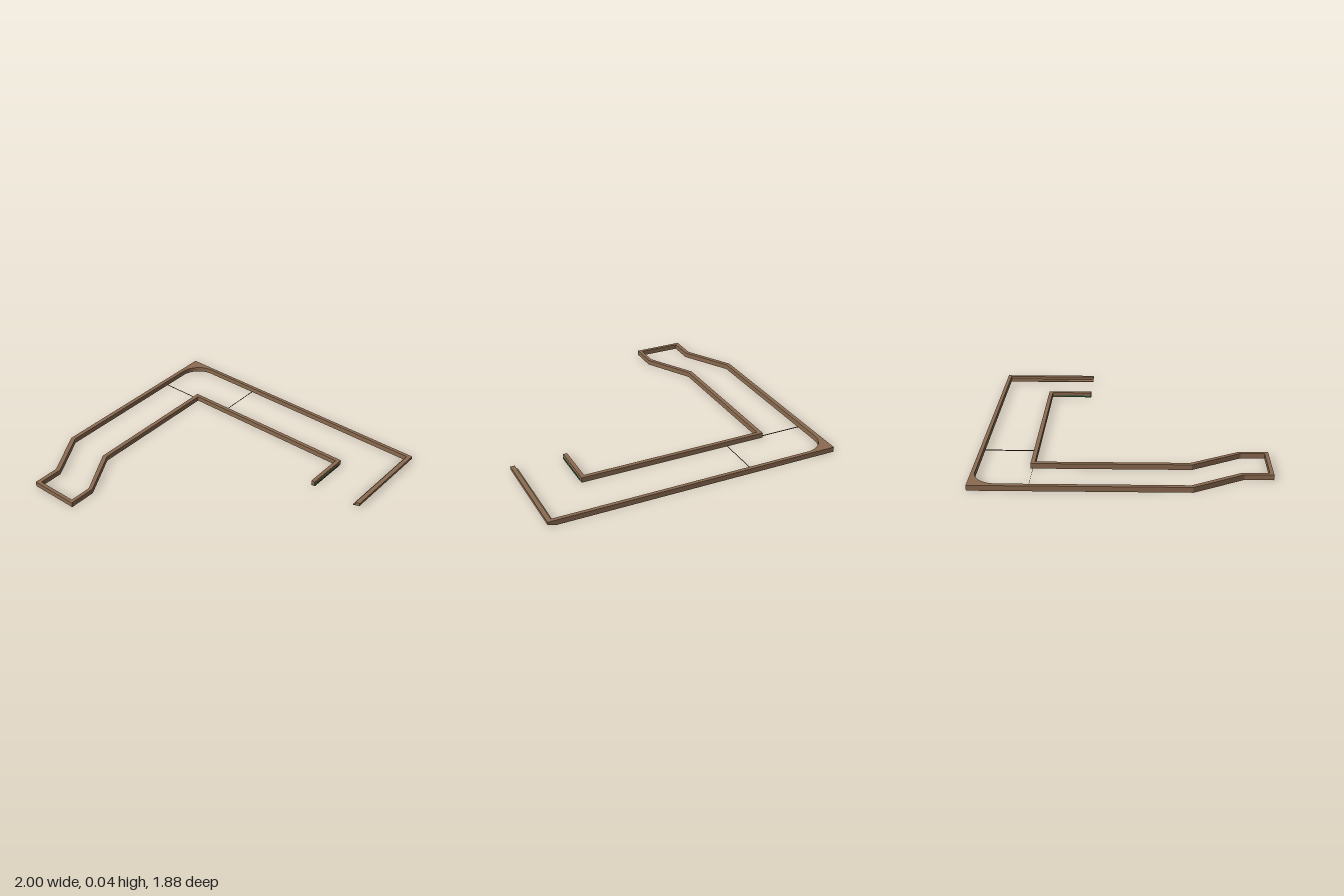
import * as THREE from 'three';

const H = 0.035; // curb height

export function createModel() {
  const group = new THREE.Group();
  const wood = new THREE.MeshStandardMaterial({ color: 0x8b6b50, flatShading: true });
  const green = new THREE.MeshStandardMaterial({ color: 0x1f5a38 });
  const dark = new THREE.MeshStandardMaterial({ color: 0x5a4433, side: THREE.DoubleSide });

  const add = (name, geometry, material, x = 0, y = 0, z = 0) => {
    const mesh = new THREE.Mesh(geometry, material);
    mesh.name = name;
    mesh.position.set(x, y, z);
    group.add(mesh);
    return mesh;
  };

  // Continuous curb: plan outline in (x, z), outer edge first, then back along the inner edge
  const plan = new THREE.Shape();
  plan.moveTo(0.95, -0.94);
  [
    [-1, -0.94], [-1, 0.43], [-0.815, 0.75], [-0.815, 0.935], [-0.465, 0.935],
    [-0.465, 0.745], [-0.645, 0.425], [-0.645, -0.558], [0.613, -0.558], [0.613, -0.27],
    [0.64, -0.27], [0.64, -0.585], [-0.675, -0.585], [-0.675, 0.435], [-0.49, 0.755],
    [-0.49, 0.91], [-0.785, 0.91], [-0.785, 0.74], [-0.97, 0.42], [-0.97, -0.76],
  ].forEach(([x, z]) => plan.lineTo(x, z));
  // rounded fill in the back corner
  plan.absarc(-0.815, -0.76, 0.155, Math.PI, Math.PI * 1.5, false);
  plan.lineTo(0.95, -0.915);
  const curb = new THREE.ExtrudeGeometry(plan, { depth: H, bevelEnabled: false, curveSegments: 10 });
  curb.rotateX(Math.PI / 2).translate(0, H, 0);
  add('curb', curb, wood);

  // End curb with a sloped underside and a thin inner lip
  const section = new THREE.Shape([
    [0.95, 0], [1, 0.015], [1, H], [0.97, H], [0.97, 0.014], [0.95, 0.006],
  ].map(([x, y]) => new THREE.Vector2(x, y)));
  add('endCurb', new THREE.ExtrudeGeometry(section, { depth: 0.645, bevelEnabled: false }), wood, 0, 0, -0.915);

  // Back corner of the end curb, filled over the full width
  const corner = new THREE.Shape([
    [0.95, 0], [1, 0.015], [1, H], [0.95, H],
  ].map(([x, y]) => new THREE.Vector2(x, y)));
  add('endCurbCorner', new THREE.ExtrudeGeometry(corner, { depth: 0.025, bevelEnabled: false }), wood, 0, 0, -0.94);

  // Green strip along the foot of the inner curb's short leg
  add('turfStrip', new THREE.BoxGeometry(0.029, 0.012, 0.287), green, 0.6275, 0.0055, -0.4135);

  // Thin upright dividers across the lane on both sides of the bend
  add('sideDivider', new THREE.PlaneGeometry(0.3, 0.007), dark, -0.82, 0.0035, -0.57);
  add('backDivider', new THREE.PlaneGeometry(0.334, 0.007), dark, -0.4, 0.0035, -0.75).rotation.y = Math.PI / 2;

  return group;
}
